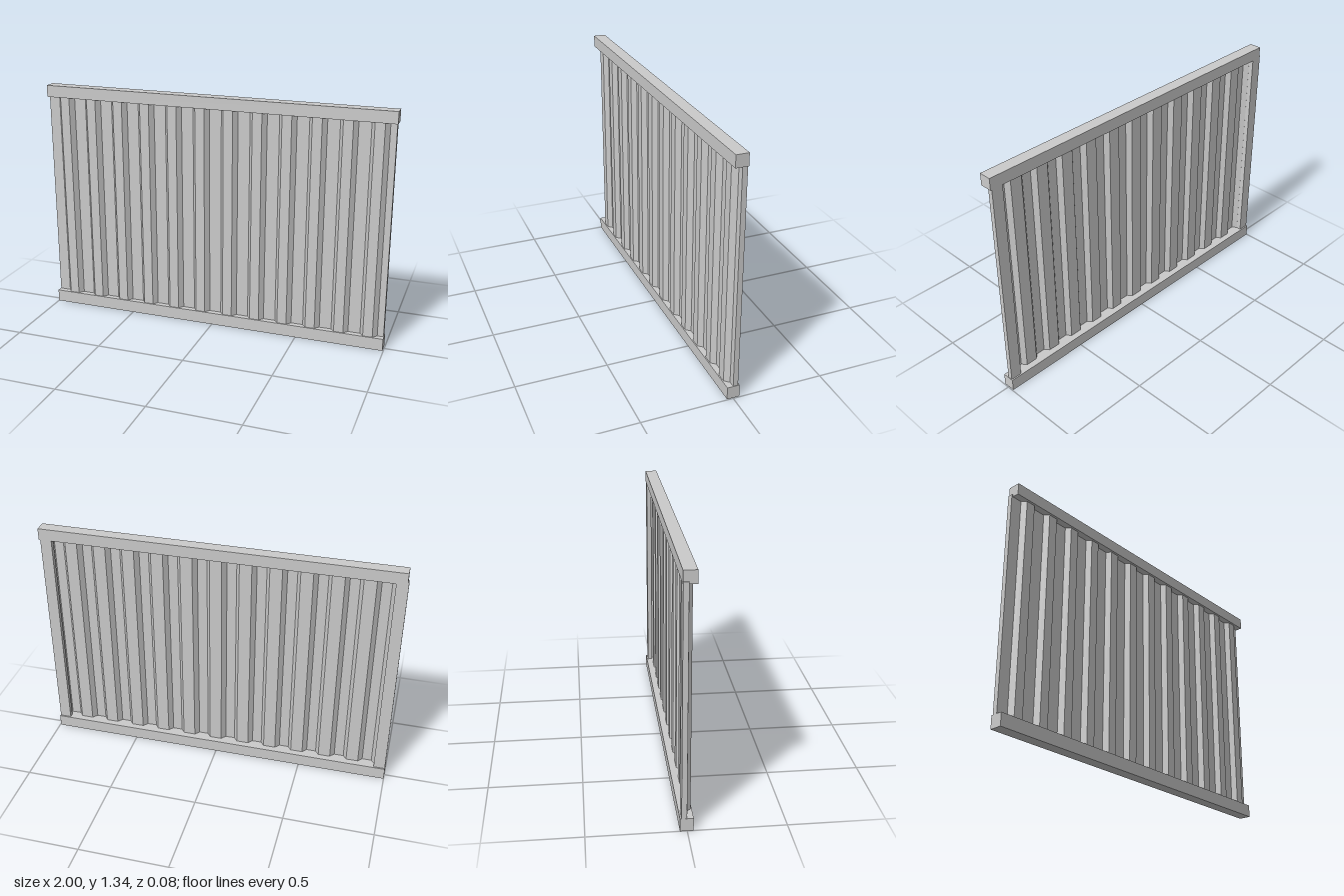
import * as THREE from 'three';

const material = new THREE.MeshStandardMaterial({ color: 0xcccccc, flatShading: true });
const sheetMaterial = new THREE.MeshStandardMaterial({
  color: 0xcccccc, flatShading: true, side: THREE.DoubleSide,
});

// Box given by its lower and upper corners
function box(name, [x0, y0, z0], [x1, y1, z1]) {
  const geometry = new THREE.BoxGeometry(x1 - x0, y1 - y0, z1 - z0);
  const mesh = new THREE.Mesh(geometry, material);
  mesh.position.set((x0 + x1) / 2, (y0 + y1) / 2, (z0 + z1) / 2);
  mesh.name = name;
  return mesh;
}

// Thin sheet with trapezoidal ribs, swept straight up
function corrugatedSheet(y0, y1) {
  const back = 0, front = 0.026, pitch = 0.1634, ribs = 12;
  const profile = [[-0.995, back]];
  for (let i = 0; i < ribs; i++) {
    const x = -0.936 + i * pitch;
    profile.push([x, back], [x + 0.02, front], [x + 0.073, front], [x + 0.096, back]);
  }
  profile.push([0.985, back]);

  const positions = [];
  for (let i = 0; i < profile.length - 1; i++) {
    const [ax, az] = profile[i];
    const [bx, bz] = profile[i + 1];
    positions.push(ax, y0, az, bx, y0, bz, bx, y1, bz);
    positions.push(ax, y0, az, bx, y1, bz, ax, y1, az);
  }
  const geometry = new THREE.BufferGeometry();
  geometry.setAttribute('position', new THREE.Float32BufferAttribute(positions, 3));
  geometry.computeVertexNormals();
  const mesh = new THREE.Mesh(geometry, sheetMaterial);
  mesh.name = 'corrugatedSheet';
  return mesh;
}

export function createModel() {
  const fence = new THREE.Group();
  fence.name = 'fencePanel';

  // Horizontal rails, slightly out of line with each other
  fence.add(box('bottomRail', [-1, 0, -0.036], [0.995, 0.07, 0.032]));
  fence.add(box('topRail', [-0.993, 1.277, -0.029], [1, 1.343, 0.039]));

  // End posts behind the sheet
  fence.add(box('rightPost', [-0.999, 0.03, -0.028], [-0.935, 1.29, -0.001]));
  fence.add(box('leftPost', [0.928, 0.03, -0.028], [0.992, 1.29, -0.001]));

  // Ribbed infill
  fence.add(corrugatedSheet(0.06, 1.285));
  return fence;
}
